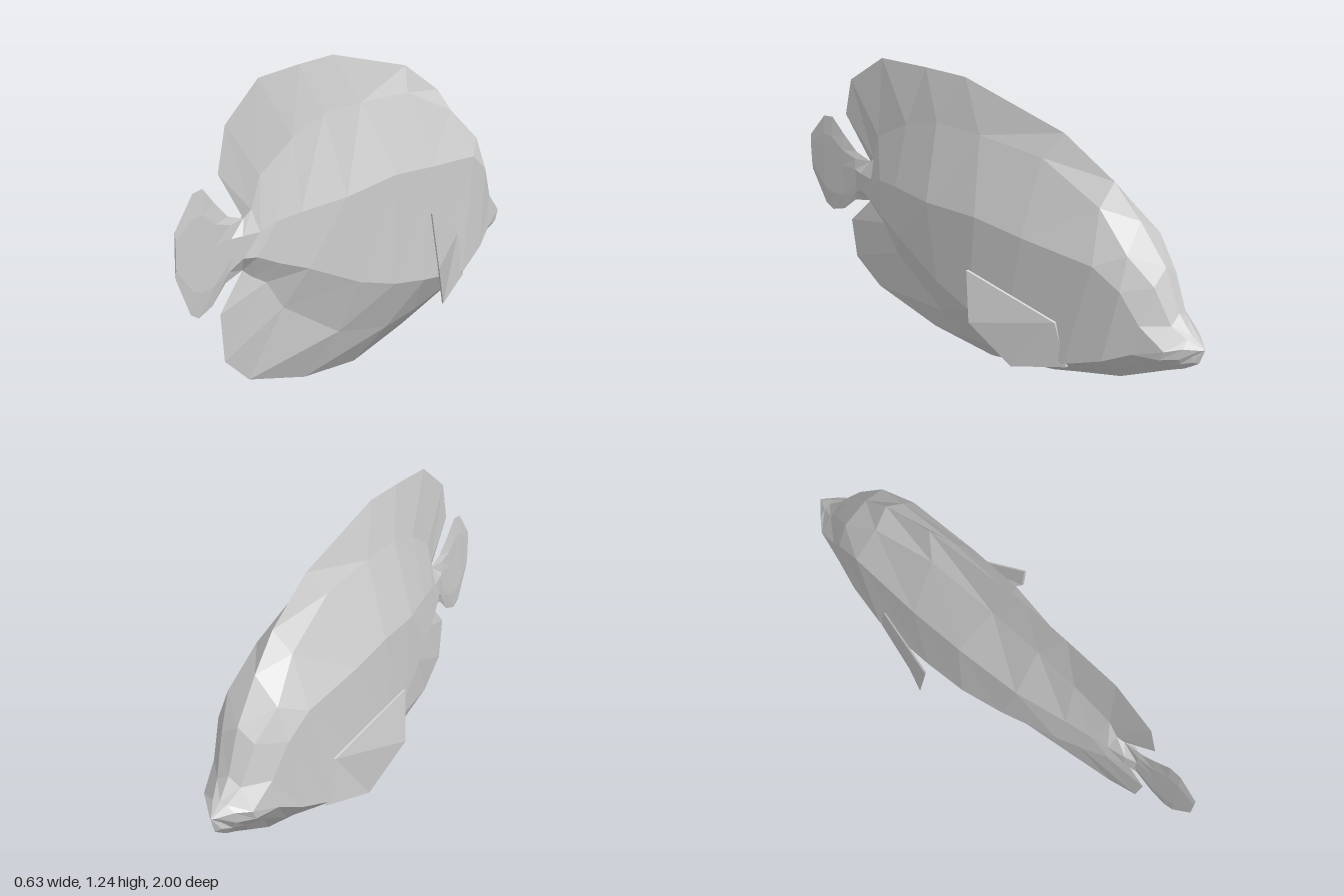
import * as THREE from 'three';

const skin = new THREE.MeshStandardMaterial({ color: 0xcccccc, flatShading: true });
skin.name = 'grey skin';

// Each section runs down the left side as [x, y, z]: ridge, upper flank, shoulder, widest line, belly, keel.
const headSections = [
  [[0, .49, -1], [.012, .49, -.99], [.02, .485, -.98], [.02, .455, -.96], [.02, .43, -.965], [0, .42, -.98]],
  [[0, .53, -.94], [.03, .525, -.94], [.06, .5, -.94], [.06, .45, -.93], [.035, .41, -.92], [0, .37, -.92]],
  [[0, .6, -.88], [.05, .57, -.88], [.105, .49, -.89], [.105, .445, -.87], [.05, .385, -.86], [0, .33, -.85]],
  [[0, .77, -.81], [.07, .72, -.81], [.125, .57, -.79], [.135, .44, -.77], [.068, .36, -.77], [0, .28, -.77]],
  [[0, .92, -.69], [.105, .83, -.71], [.15, .7, -.715], [.165, .375, -.66], [.088, .29, -.65], [0, .2, -.64]],
  [[0, 1.04, -.57], [.075, .96, -.56], [.165, .77, -.6], [.187, .3, -.5], [.1, .215, -.47], [0, .13, -.45]],
];
const trunkSections = [
  headSections[5],
  [[0, 1.16, -.34], [.055, 1.06, -.28], [.175, .77, -.28], [.19, .32, -.22], [.1, .17, -.27], [0, .08, -.32]],
  [[0, 1.24, .13], [.05, 1.05, .02], [.17, .77, -.05], [.183, .34, -.03], [.1, .14, -.08], [0, 0, 0]],
  [[0, 1.22, .33], [.045, 1.03, .24], [.14, .72, .22], [.155, .38, .16], [.08, .18, .2], [0, .01, .31]],
  [[0, 1.19, .56], [.035, .96, .41], [.09, .69, .43], [.11, .475, .41], [.04, .33, .48], [0, .08, .63]],
];
// The ridge and keel sweep back past the tail root as dorsal and anal fins
const rearSections = [
  trunkSections[4],
  [[0, 1.04, .74], [.02, .84, .58], [.065, .67, .54], [.075, .515, .54], [.028, .44, .56], [0, .18, .76]],
  [[0, .87, .78], [.012, .72, .62], [.045, .64, .61], [.05, .55, .63], [.012, .47, .62], [0, .36, .78]],
  [[0, .69, .65], [0, .69, .65], [.03, .635, .685], [.03, .552, .685], [0, .5, .66], [0, .5, .66]],
  [[0, .71, .73], [.01, .68, .73], [.014, .63, .73], [.014, .56, .73], [.01, .51, .74], [0, .47, .75]],
];

// Tail fan: top [y, z], bottom [y, z] and half thickness, spread evenly from top to bottom
const tailSections = [
  rearSections[4],
  ...[[.77, .8, .4, .82, .01], [.83, .86, .37, .89, .008], [.82, .91, .39, .93, .007], [.7, 1, .53, 1, .003]]
    .map(([yt, zt, yb, zb, w]) => [0, .2, .4, .6, .8, 1].map((t) =>
      [t === 0 || t === 1 ? 0 : w, yt + (yb - yt) * t, zt + (zb - zt) * t])),
];

function meshFrom(name, points, faces) {
  let geometry = new THREE.BufferGeometry();
  geometry.setAttribute('position', new THREE.Float32BufferAttribute(points.flat(), 3));
  geometry.setIndex(faces.flat());
  geometry = geometry.toNonIndexed();
  geometry.computeVertexNormals();
  const mesh = new THREE.Mesh(geometry, skin);
  mesh.name = name;
  return mesh;
}

// Mirrors every section into a ring and skins the rings from head to tail
function loft(name, sections, capStart = false, capEnd = false) {
  const rings = sections.map((s) => [...s, ...s.slice(1, -1).reverse().map(([x, y, z]) => [-x, y, z])]);
  const n = rings[0].length;
  const faces = [];
  for (let i = 0; i < rings.length - 1; i++) {
    for (let j = 0; j < n; j++) {
      const a = i * n + j, b = i * n + (j + 1) % n;
      // Mirror the diagonals too, so both sides match
      if (j < n / 2) faces.push([a, a + n, b + n], [a, b + n, b]);
      else faces.push([a, a + n, b], [a + n, b + n, b]);
    }
  }
  const last = (rings.length - 1) * n;
  for (let j = 1; j < n - 1; j++) {
    if (capStart) faces.push([0, j, j + 1]);
    if (capEnd) faces.push([last, last + j + 1, last + j]);
  }
  return meshFrom(name, rings.flat(), faces);
}

// Thin five-cornered side fin, flaring outward and back from a root sunk in the flank
function pectoralFin(name, side) {
  const outer = [[.187, .47, -.455], [.295, .62, -.115], [.314, .4, -.14], [.236, .215, -.285], [.18, .285, -.51]];
  const inner = outer.map(([x, y, z]) => [x - .008, y, z - .003]);
  const n = outer.length;
  const faces = [];
  for (let i = 1; i < n - 1; i++) faces.push([0, i, i + 1], [n, n + i + 1, n + i]);
  for (let i = 0; i < n; i++) {
    const k = (i + 1) % n;
    faces.push([i, n + k, k], [i, n + i, n + k]);
  }
  const points = [...outer, ...inner].map(([x, y, z]) => [x * side, y, z]);
  return meshFrom(name, points, side > 0 ? faces : faces.map(([a, b, c]) => [a, c, b]));
}

export function createModel() {
  const fish = new THREE.Group();
  fish.name = 'fish';
  fish.add(
    loft('head', headSections, true),
    loft('trunk', trunkSections),
    loft('rearBodyAndFins', rearSections),
    loft('tailFin', tailSections, false, true),
    pectoralFin('leftPectoralFin', 1),
    pectoralFin('rightPectoralFin', -1),
  );
  return fish;
}
